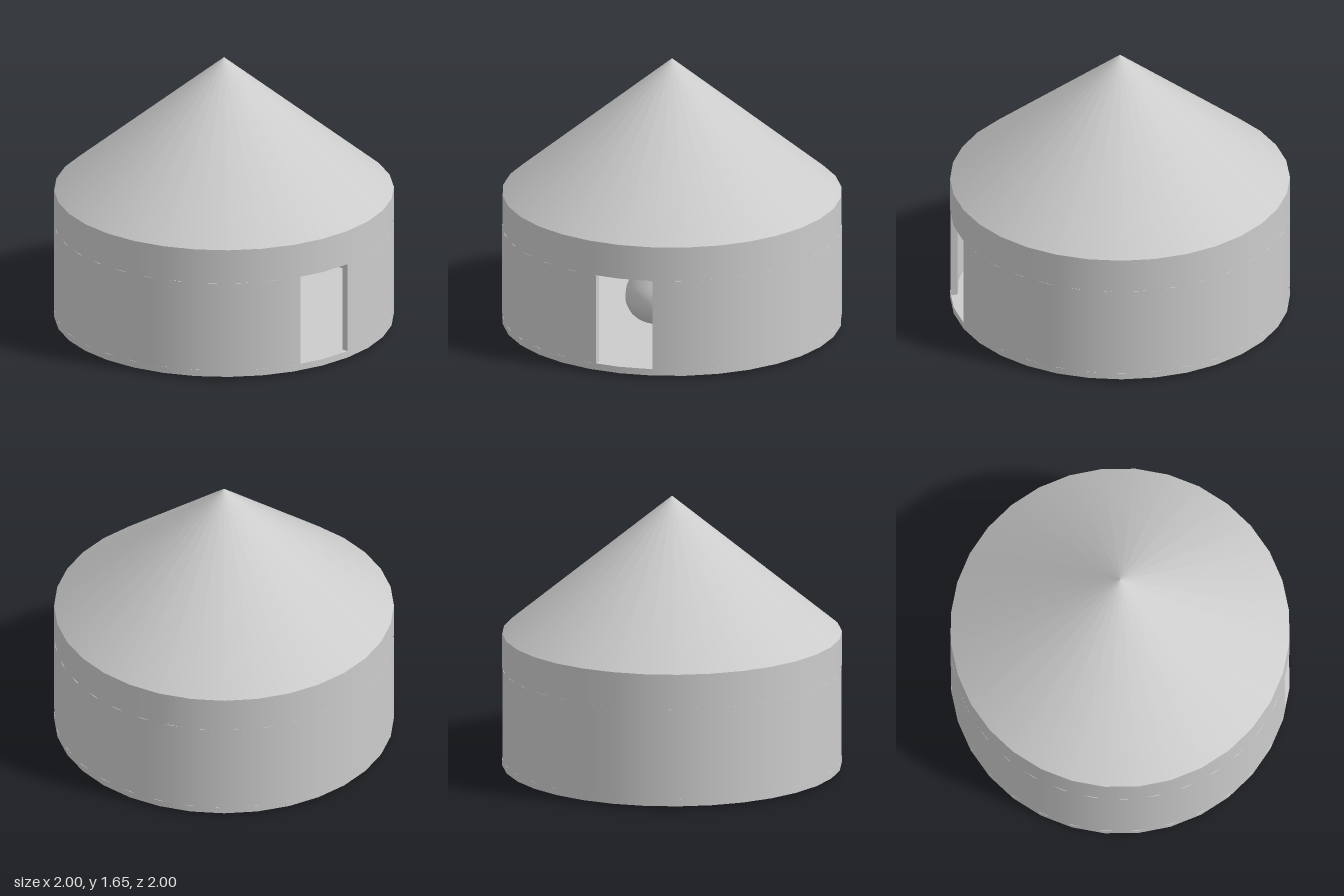
import * as THREE from 'three';

const grey = new THREE.MeshStandardMaterial({ color: 0xcccccc });
const greyThin = new THREE.MeshStandardMaterial({ color: 0xcccccc, side: THREE.DoubleSide });
const red = new THREE.MeshStandardMaterial({ color: 0xdd2020 });

const SIDES = 32;
const OUTER = 1, INNER = 0.957;
const FLOOR_TOP = 0.06, DOOR_TOP = 0.61, EAVES = 0.82, APEX = 1.65;
const DOOR_START = THREE.MathUtils.degToRad(70), DOOR_END = Math.PI / 2;

export function createModel() {
  const model = new THREE.Group();
  model.name = 'roundHut';

  const add = (name, geometry, material = grey, y = 0) => {
    const mesh = new THREE.Mesh(geometry, material);
    mesh.name = name;
    mesh.position.y = y;
    model.add(mesh);
    return mesh;
  };

  // Curved wall of rectangular section; doubled corners keep its edges sharp
  const wallBand = (y0, y1, start = 0, length = Math.PI * 2) => {
    const corners = [[INNER, y0], [OUTER, y0], [OUTER, y1], [INNER, y1], [INNER, y0]];
    const points = corners.flatMap(([r, y], i) => {
      const p = new THREE.Vector2(r, y);
      return i === 0 || i === 4 ? [p] : [p, p.clone()];
    });
    return new THREE.LatheGeometry(points, SIDES, start, length);
  };

  // Floor slab, wall with a door gap, and the ring above the door
  add('floor', new THREE.CylinderGeometry(OUTER, OUTER, 0.04, SIDES), grey, 0.04);
  add('wall', wallBand(FLOOR_TOP, DOOR_TOP, DOOR_END, Math.PI * 2 - (DOOR_END - DOOR_START)));
  add('upperWall', wallBand(DOOR_TOP, EAVES));

  // Door jambs close the two cut ends of the wall
  for (const [name, phi] of [['frontJamb', DOOR_START], ['backJamb', DOOR_END]]) {
    const jamb = add(name, new THREE.PlaneGeometry(OUTER - INNER, DOOR_TOP - FLOOR_TOP), greyThin);
    const r = (OUTER + INNER) / 2;
    jamb.position.set(r * Math.sin(phi), (FLOOR_TOP + DOOR_TOP) / 2, r * Math.cos(phi));
    jamb.rotation.y = phi - Math.PI / 2;
  }

  // Conical roof
  add('roof', new THREE.ConeGeometry(OUTER, APEX - EAVES, SIDES), grey, (APEX + EAVES) / 2);

  // Pot in the middle, with a rim and a foot ring
  const potProfile = new THREE.SplineCurve([
    [0.15, 0.03], [0.225, 0.06], [0.265, 0.115], [0.275, 0.17],
    [0.262, 0.24], [0.225, 0.3], [0.195, 0.335],
  ].map(([r, y]) => new THREE.Vector2(r, y))).getPoints(18);
  add('pot', new THREE.LatheGeometry([new THREE.Vector2(0, 0.03), ...potProfile], SIDES), greyThin);

  const ring = (name, radius, tube, y) => {
    add(name, new THREE.TorusGeometry(radius, tube, 12, SIDES), grey, y).rotation.x = Math.PI / 2;
  };
  ring('potRim', 0.2, 0.02, 0.335);
  ring('potFoot', 0.163, 0.03, 0.03);

  // Red column standing in the pot
  add('redColumn', new THREE.CylinderGeometry(0.1, 0.1, 0.47, SIDES), red, 0.295);

  return model;
}
